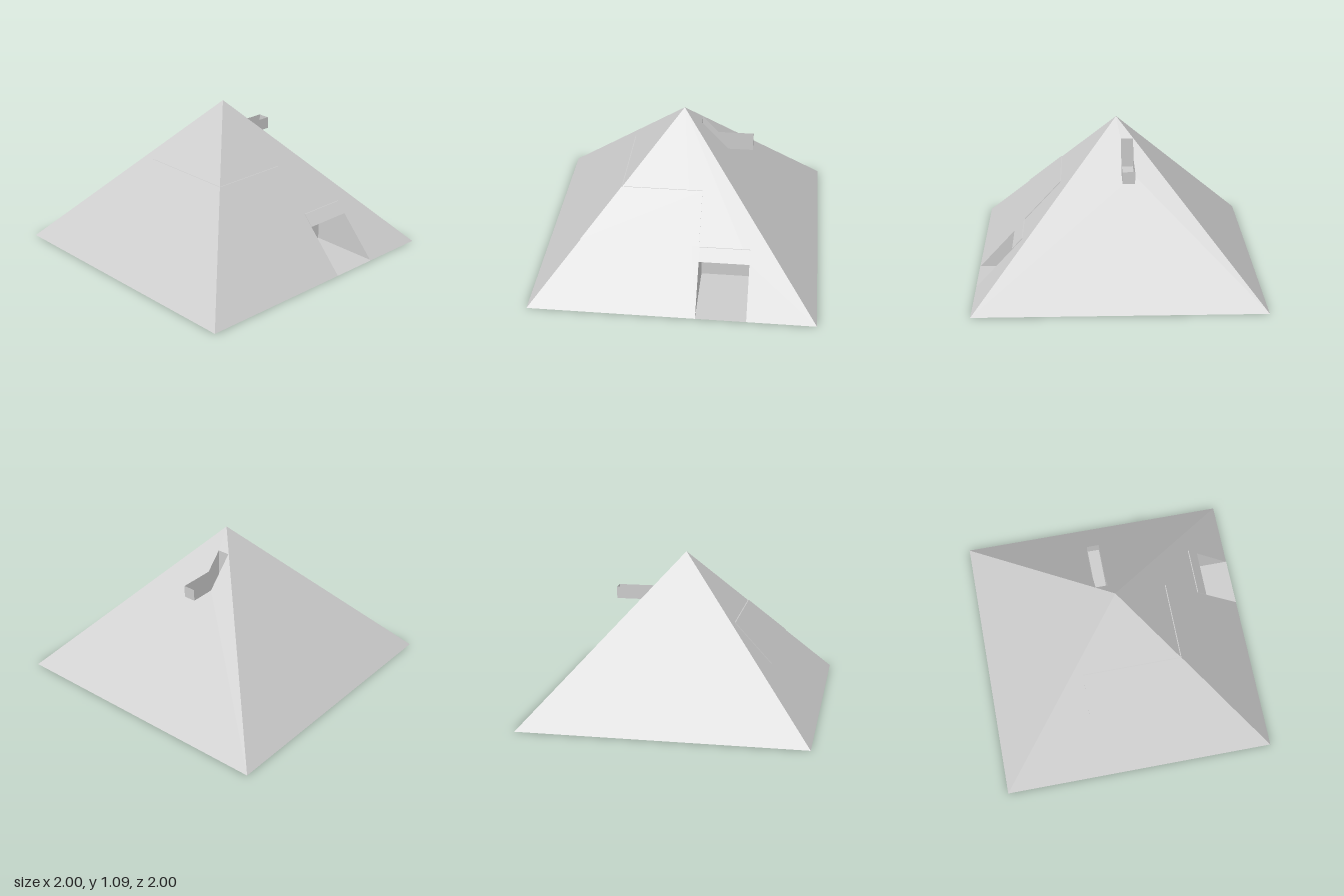
import * as THREE from 'three';

const H = 1.09;                       // pyramid height, base is 2 x 2
const half = (y) => 1 - y / H;        // half width at height y
const mat = new THREE.MeshStandardMaterial({ color: 0xcccccc, flatShading: true, side: THREE.DoubleSide });

const outline = (pts) => new THREE.Shape(pts.map(([x, y]) => new THREE.Vector2(x, y)));
const rect = (x0, y0, x1, y1) => [[x0, y0], [x1, y0], [x1, y1], [x0, y1]];

// Leans an upright front-facing geometry onto the slope, then turns it to its side
function lean(geo, turn) {
  const p = geo.attributes.position;
  for (let i = 0; i < p.count; i++) p.setZ(i, p.getZ(i) + half(p.getY(i)));
  geo.rotateY(turn);
  geo.computeVertexNormals();
  return geo;
}

export function createModel() {
  const model = new THREE.Group();
  const add = (parent, name, geo) => {
    const mesh = new THREE.Mesh(geo, mat);
    mesh.name = name;
    parent.add(mesh);
    return mesh;
  };
  const group = (name) => {
    const g = new THREE.Group();
    g.name = name;
    model.add(g);
    return g;
  };
  // Flat rectangle with its centre, size and rotation
  const plane = (parent, name, w, h, pos, rx = 0, ry = 0) => {
    const m = add(parent, name, new THREE.PlaneGeometry(w, h));
    m.position.set(...pos);
    m.rotation.set(rx, ry, 0);
  };

  const door = { x0: 0.17, x1: 0.52, top: 0.29, back: 0.49, floor: 0.005 };
  const bal = { z0: -0.117, z1: -0.03, floor: 0.75, rail: 0.835, top: 0.958, out: 0.49 };
  const balBack = half(bal.top);

  // Four sloping faces: the front has a doorway, the +x side a balcony opening
  const body = group('pyramid');
  const triangle = [[-1, 0], [1, 0], [0, H]];
  const front = outline([[-1, 0], [door.x0, 0], [door.x0, door.top],
    [door.x1, door.top], [door.x1, 0], [1, 0], [0, H]]);
  const side = outline(triangle);
  side.holes.push(outline(rect(-bal.z1, bal.floor, -bal.z0, bal.top)));
  [['frontFace', front], ['leftFace', side], ['backFace', outline(triangle)], ['rightFace', outline(triangle)]]
    .forEach(([name, shape], i) => add(body, name, lean(new THREE.ShapeGeometry(shape), i * Math.PI / 2)));
  plane(body, 'base', 2, 2, [0, 0, 0], Math.PI / 2);

  // Entrance room cut into the front
  const entrance = group('entrance');
  const dw = door.x1 - door.x0, dx = (door.x0 + door.x1) / 2, dd = 1 - door.back;
  plane(entrance, 'floor', dw, dd, [dx, door.floor, 1 - dd / 2], -Math.PI / 2);
  plane(entrance, 'backWall', dw, door.top, [dx, door.top / 2, door.back]);
  const cd = half(door.top) - door.back;
  plane(entrance, 'ceiling', dw, cd, [dx, door.top, door.back + cd / 2], Math.PI / 2);
  const doorSide = outline([[-1, 0], [-door.back, 0], [-door.back, door.top], [-half(door.top), door.top]]);
  for (const x of [door.x0, door.x1]) {
    add(entrance, 'sideWall', new THREE.ShapeGeometry(doorSide).rotateY(Math.PI / 2)).position.x = x;
  }

  // Balcony: a notch in the slope with an open-topped trough reaching out
  const balcony = group('balcony');
  const bw = bal.z1 - bal.z0, bz = (bal.z0 + bal.z1) / 2, bl = bal.out - balBack;
  plane(balcony, 'floor', bl, bw, [balBack + bl / 2, bal.floor, bz], -Math.PI / 2);
  plane(balcony, 'backWall', bw, bal.top - bal.floor, [balBack, (bal.top + bal.floor) / 2, bz], 0, Math.PI / 2);
  plane(balcony, 'endWall', bw, bal.rail - bal.floor, [bal.out, (bal.rail + bal.floor) / 2, bz], 0, Math.PI / 2);
  const balSide = outline([[balBack, bal.floor], [bal.out, bal.floor], [bal.out, bal.rail],
    [half(bal.rail), bal.rail], [balBack, bal.top]]);
  for (const z of [bal.z0, bal.z1]) {
    add(balcony, 'sideWall', new THREE.ShapeGeometry(balSide)).position.z = z;
  }

  // Thin panels lying on the slopes: a lintel and a band wrapping one corner
  const panels = group('slopePanels');
  const t = 0.006, y0 = 0.37, y1 = 0.655;
  const panel = (name, pts, turn) => add(panels, name,
    lean(new THREE.ExtrudeGeometry(outline(pts), { depth: t, bevelEnabled: false }), turn));
  panel('lintel', rect(door.x0, door.top, door.x1, 0.365), 0);
  panel('frontBand', [[-half(y0) - t, y0], [0.165, y0], [0.165, y1], [-half(y1) - t, y1]], 0);
  panel('rightBand', [[-0.31, y0], [half(y0) + t, y0], [half(y1) + t, y1], [-0.31, y1]], -Math.PI / 2);

  return model;
}
